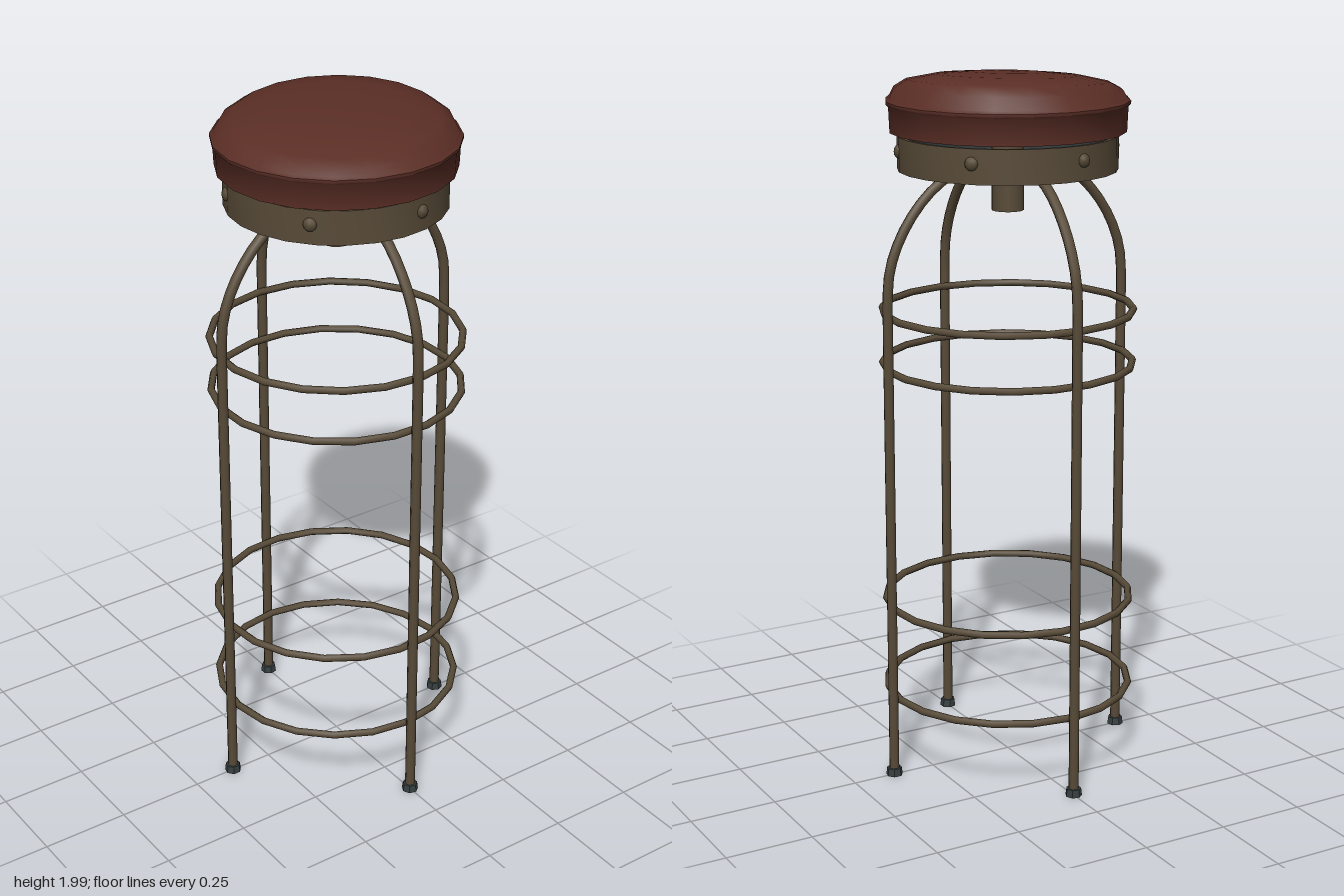
import * as THREE from 'three';
import { toCreasedNormals } from 'three/addons/utils/BufferGeometryUtils.js';

const v2 = (pts) => pts.map(([x, y]) => new THREE.Vector2(x, y));

export function createModel() {
  const leather = new THREE.MeshStandardMaterial({ name: 'leather', color: 0x5a2e25 });
  const metal = new THREE.MeshStandardMaterial({ name: 'agedMetal', color: 0x584b38 });
  const slate = new THREE.MeshStandardMaterial({ name: 'slate', color: 0x363e40, side: THREE.DoubleSide });

  const model = new THREE.Group();
  model.name = 'barStool';
  const add = (name, geometry, material, parent = model) => {
    const mesh = new THREE.Mesh(geometry, material);
    mesh.name = name;
    parent.add(mesh);
    return mesh;
  };

  // Cushion: turned profile with a piped seam and a slightly leaning crown
  const cushion = new THREE.LatheGeometry(v2([
    [0, 1.835], [0.3, 1.835], [0.327, 1.83], [0.33, 1.9], [0.337, 1.907], [0.337, 1.915],
    [0.328, 1.922], [0.315, 1.945], [0.28, 1.966], [0.2, 1.982], [0.1, 1.989], [0, 1.991],
  ]), 20);
  const p = cushion.attributes.position;
  for (let i = 0; i < p.count; i++) {
    const lift = THREE.MathUtils.clamp((p.getY(i) - 1.92) / 0.04, 0, 1);
    p.setY(i, Math.min(2, p.getY(i) + lift * 0.04 * (p.getX(i) - p.getZ(i))));
  }
  add('cushion', toCreasedNormals(cushion, 0.8), leather);

  // Metal band under the cushion, dark on its inner wall
  const band = new THREE.LatheGeometry(v2([
    [0.295, 1.725], [0.305, 1.725], [0.305, 1.82], [0.295, 1.82],
  ]), 24);
  add('seatBand', toCreasedNormals(band, 0.6), metal);
  add('seatBandLining', new THREE.CylinderGeometry(0.294, 0.294, 0.095, 24, 1, true), slate)
    .position.y = 1.7725;

  // Rivets around the band
  for (let i = 0; i < 6; i++) {
    const a = THREE.MathUtils.degToRad(12 + i * 60);
    const rivet = add('rivet', new THREE.SphereGeometry(0.019, 8, 6), metal);
    rivet.position.set(Math.sin(a) * 0.304, 1.78, Math.cos(a) * 0.304);
    rivet.rotation.y = a;
    rivet.scale.z = 0.65;
  }

  // Swivel plate and hollow hub
  add('swivelPlate', new THREE.BoxGeometry(0.22, 0.02, 0.22), slate).position.y = 1.822;
  const hub = new THREE.LatheGeometry(v2([
    [0.032, 1.812], [0.032, 1.61], [0.045, 1.61], [0.045, 1.812],
  ]), 14);
  add('hub', toCreasedNormals(hub, 0.6), metal);

  // Four legs, each bending over into the hub
  const bend = [[0.375, 1.4], [0.365, 1.48], [0.325, 1.575], [0.255, 1.665], [0.18, 1.718], [0.1, 1.738], [0.035, 1.73]];
  const curve = new THREE.CurvePath();
  curve.add(new THREE.LineCurve3(new THREE.Vector3(0.375, 0.01, 0), new THREE.Vector3(0.375, 1.4, 0)));
  curve.add(new THREE.CatmullRomCurve3(bend.map(([x, y]) => new THREE.Vector3(x, y, 0))));
  const legGeometry = new THREE.TubeGeometry(curve, 44, 0.0145, 8);
  const footGeometry = new THREE.CylinderGeometry(0.021, 0.024, 0.022, 7);
  for (let i = 0; i < 4; i++) {
    const leg = new THREE.Group();
    leg.name = 'leg';
    leg.rotation.y = i * Math.PI / 2;
    add('legTube', legGeometry, metal, leg);
    add('foot', toCreasedNormals(footGeometry, 0.5), slate, leg).position.set(0.375, 0.011, 0);
    model.add(leg);
  }

  // Foot rings and upper brace rings
  [0.225, 0.488, 1.18, 1.332].forEach((y, i) => {
    const ring = add('braceRing', new THREE.TorusGeometry(0.352, 0.0105, 7, 20), metal);
    ring.rotation.set(Math.PI / 2, 0, i * 0.08);
    ring.position.y = y;
  });

  return model;
}
